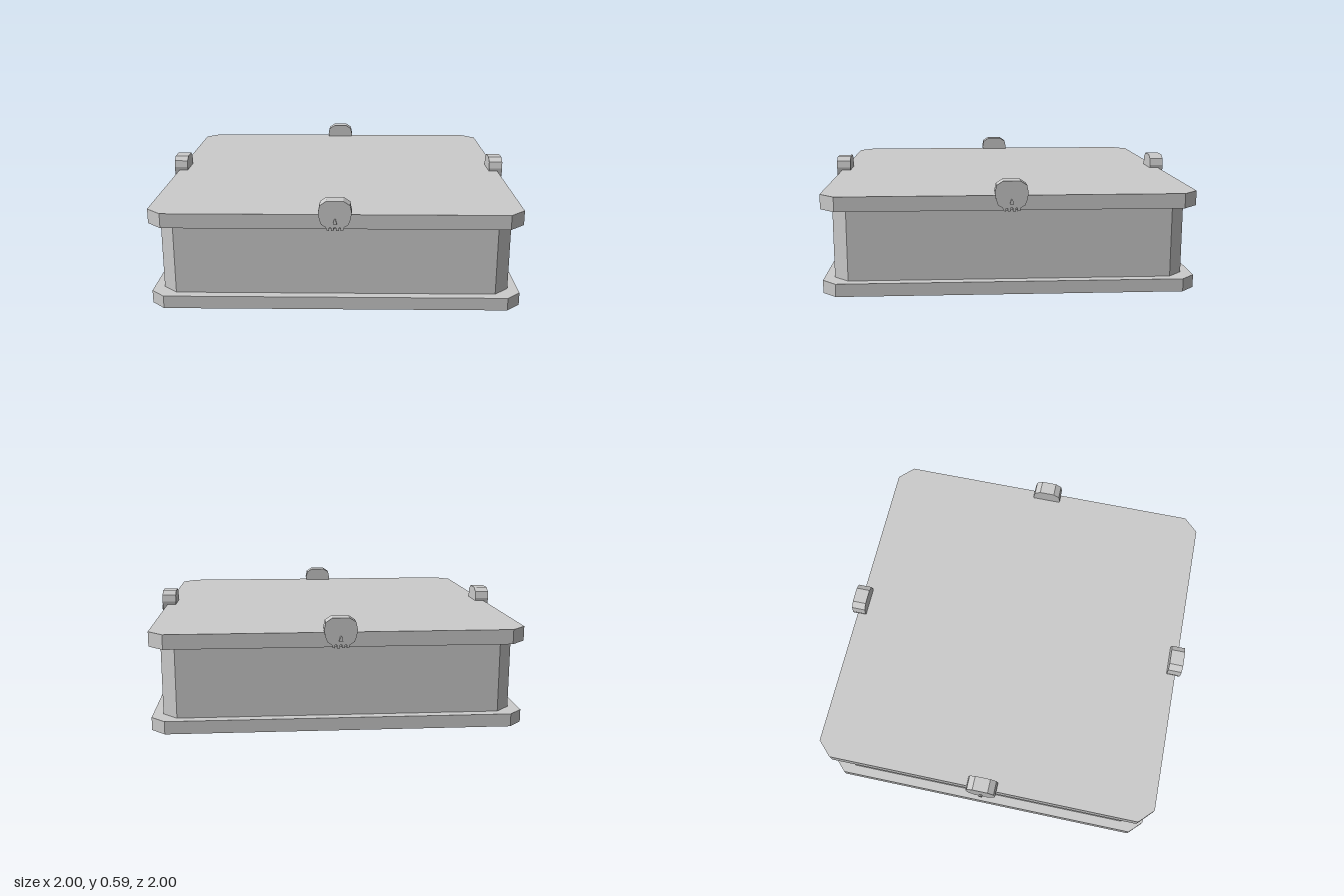
import * as THREE from 'three';

const material = new THREE.MeshStandardMaterial({ color: 0xcccccc, flatShading: true });

// Square slab with cut corners, standing from y0 to y1
function slab(name, half, cut, y0, y1) {
  const a = half, b = half - cut;
  const shape = new THREE.Shape([
    [b, -a], [a, -b], [a, b], [b, a], [-b, a], [-a, b], [-a, -b], [-b, -a],
  ].map(([x, y]) => new THREE.Vector2(x, y)));
  const geometry = new THREE.ExtrudeGeometry(shape, { depth: y1 - y0, bevelEnabled: false });
  geometry.rotateX(-Math.PI / 2).translate(0, y0, 0);
  const mesh = new THREE.Mesh(geometry, material);
  mesh.name = name;
  return mesh;
}

// Flat outline extruded forward from z0 to z1
function plate(name, points, z0, z1) {
  const shape = new THREE.Shape(points.map(([x, y]) => new THREE.Vector2(x, y)));
  const geometry = new THREE.ExtrudeGeometry(shape, { depth: z1 - z0, bevelEnabled: false });
  const mesh = new THREE.Mesh(geometry.translate(0, 0, z0), material);
  mesh.name = name;
  return mesh;
}

// Skull clasp: faceted cranium, notched teeth and a small raised nose
function skullClasp() {
  const clasp = new THREE.Group();
  const right = [
    [0.006, 0.453], [0.006, 0.437], [0.02, 0.437], [0.02, 0.453], [0.029, 0.453], [0.029, 0.437],
    [0.042, 0.439], [0.046, 0.455], [0.068, 0.468], [0.078, 0.495], [0.084, 0.53], [0.076, 0.568], [0.043, 0.59],
  ];
  const left = right.map(([x, y]) => [-x, y]).reverse();
  clasp.add(plate('skull', [...right, ...left], 0.91, 0.988));
  clasp.add(plate('nose', [[-0.01, 0.474], [0.01, 0.474], [0.005, 0.495], [0, 0.5], [-0.005, 0.495]], 0.98, 1));
  return clasp;
}

export function createModel() {
  const model = new THREE.Group();
  model.name = 'box';
  model.add(
    slab('base', 0.96, 0.073, 0, 0.067),
    slab('body', 0.907, 0.077, 0.067, 0.437),
    slab('lid', 0.96, 0.08, 0.437, 0.513),
  );

  // One clasp in the middle of each side
  ['front', 'left', 'back', 'right'].forEach((side, i) => {
    const clasp = skullClasp();
    clasp.name = side + 'Clasp';
    clasp.rotation.y = i * Math.PI / 2;
    model.add(clasp);
  });
  return model;
}
